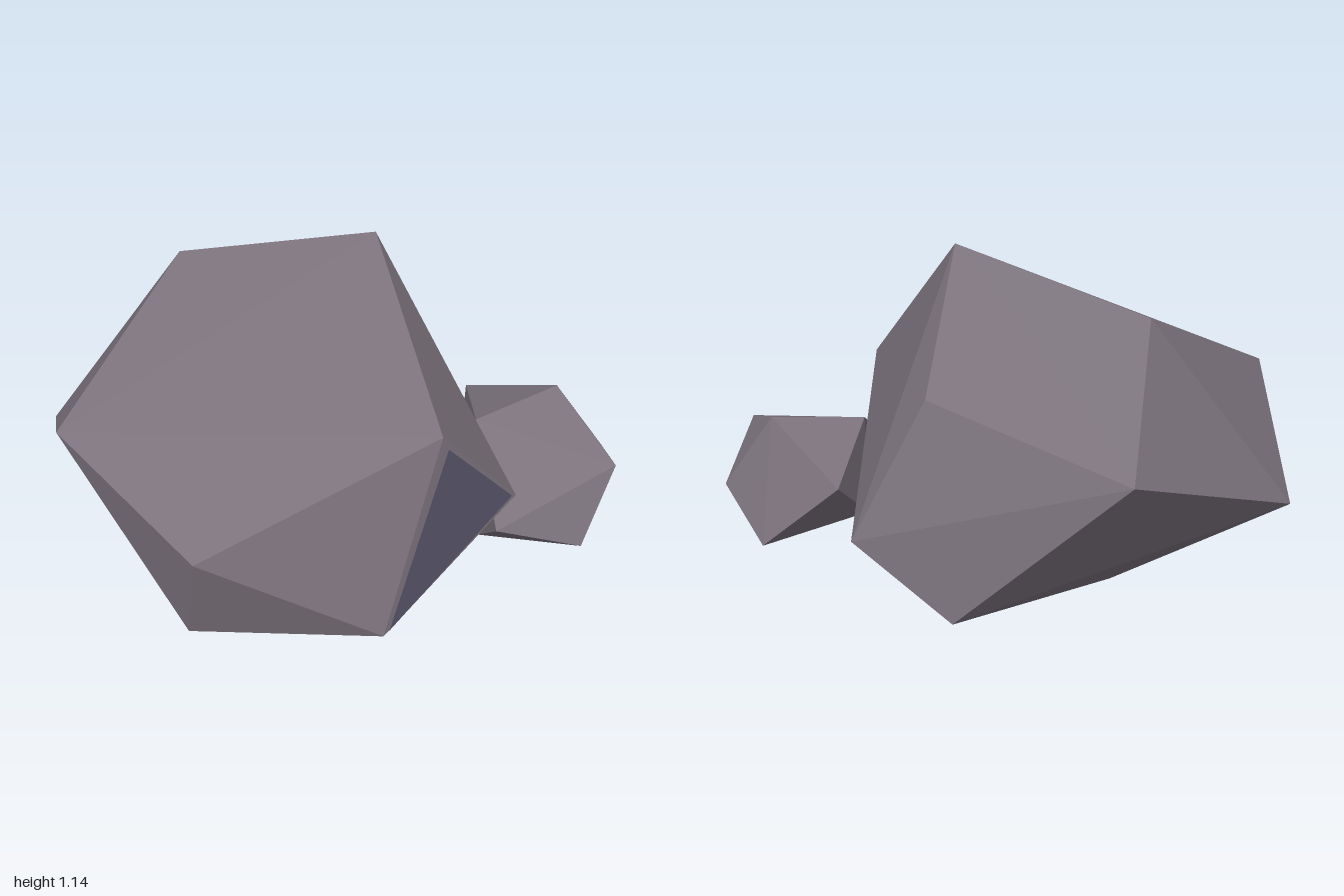
import * as THREE from 'three';
import { ConvexGeometry } from 'three/addons/geometries/ConvexGeometry.js';

const stone = new THREE.MeshStandardMaterial({ color: 0x7b727c, flatShading: true });
stone.name = 'stone';
const slate = new THREE.MeshStandardMaterial({ color: 0x575468, flatShading: true });
slate.name = 'dark slate';

// A faceted boulder: the convex hull of its corners
function boulder(name, corners) {
  const points = corners.map((c) => new THREE.Vector3(...c));
  const mesh = new THREE.Mesh(new ConvexGeometry(points), stone);
  mesh.name = name;
  return mesh;
}

export function createModel() {
  const group = new THREE.Group();
  group.name = 'rocks';

  group.add(boulder('largeRock', [
    // crown
    [0.17, 1.14, 0.05], [-0.37, 0.96, -0.43], [-0.02, 0.85, 0.83], [0.39, 0.72, -0.32],
    // girdle
    [-1, 0.61, -0.06], [-0.13, 0.57, -0.88], [0.29, 0.49, 0.82], [-0.78, 0.43, 0.58],
    [-0.86, 0.27, -0.6], [0.66, 0.23, -0.31], [-0.24, 0.13, 0.88],
    // foot
    [0.38, 0, -0.57], [0.53, 0, 0.16], [-0.76, 0, 0.44], [-0.24, 0, -0.45],
  ]));

  group.add(boulder('smallRock', [
    // top
    [0.81, 0.455, 0.33], [0.46, 0.41, 0.32], [0.83, 0.32, 0.69], [0.64, 0.29, -0.02],
    // sides
    [0.33, 0.2, 0.68], [0.99, 0.17, 0.41], [0.64, 0.08, 0.78],
    // foot
    [0.9, 0.02, 0.15], [0.38, 0.02, 0.5], [0.49, 0.08, 0.18],
  ]));

  // Dark facet lying on the front face of the large rock
  const facet = new THREE.BufferGeometry().setFromPoints([
    new THREE.Vector3(0, 0.8, 0.836),
    new THREE.Vector3(-0.22, 0.15, 0.883),
    new THREE.Vector3(0.27, 0.5, 0.827),
  ]);
  facet.computeVertexNormals();
  const facetMesh = new THREE.Mesh(facet, slate);
  facetMesh.name = 'frontFacet';
  group.add(facetMesh);

  return group;
}
